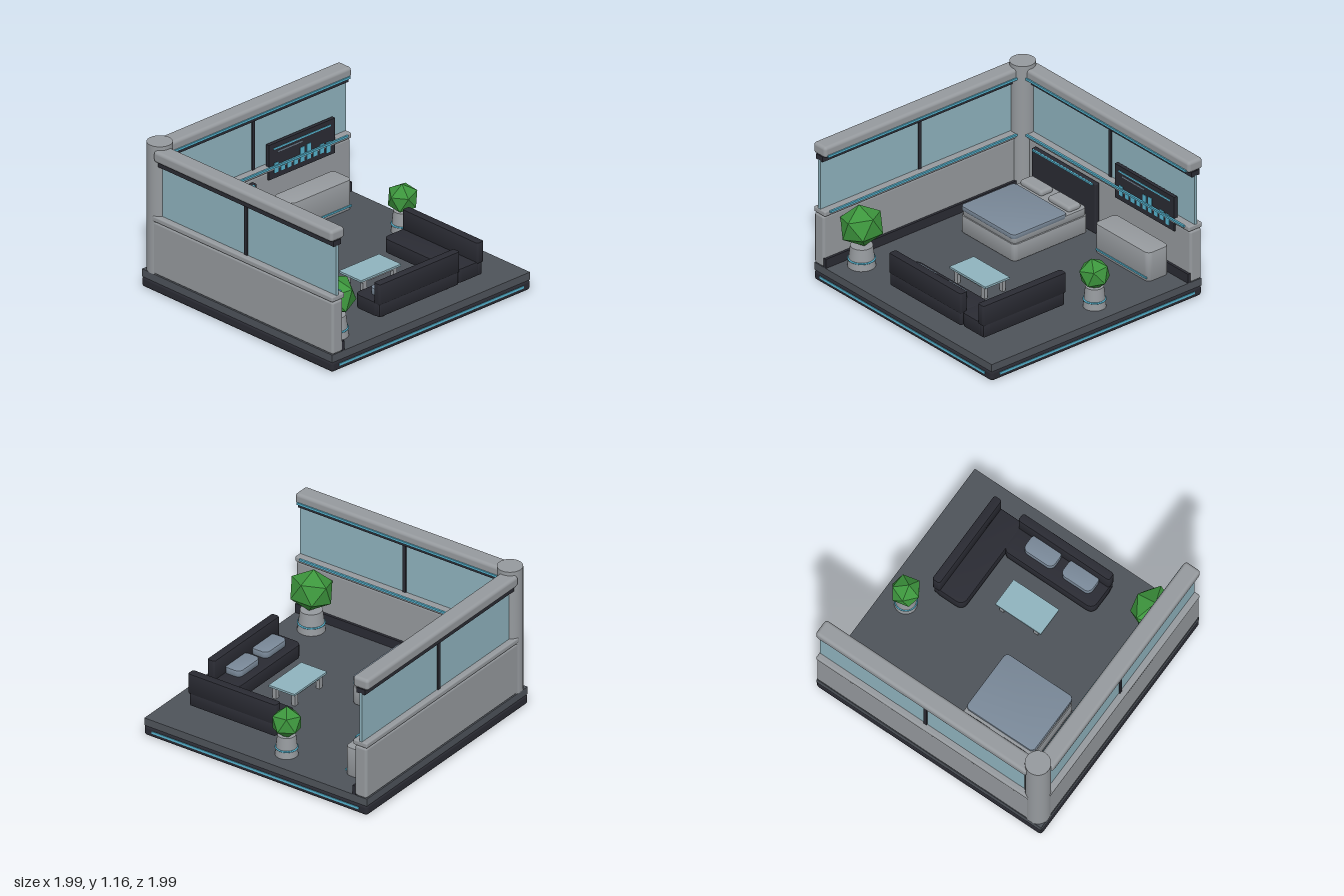
import * as THREE from 'three';
import { toCreasedNormals } from 'three/addons/utils/BufferGeometryUtils.js';
import { RoundedBoxGeometry } from 'three/addons/geometries/RoundedBoxGeometry.js';

const paint = (name, color) => {
  const m = new THREE.MeshStandardMaterial({ color });
  m.name = name;
  return m;
};

export function createModel() {
  const grey = paint('light grey', 0x969a9e);
  const dark = paint('charcoal', 0x2a2b33);
  const floorMat = paint('floor grey', 0x4e535a);
  const cyan = paint('cyan glow', 0x56b4d0);
  const glass = paint('pale glass', 0x8fb3be);
  const slate = paint('slate blue', 0x7a8999);
  const green = paint('leaf green', 0x3d963d);

  const room = new THREE.Group();
  room.name = 'bedroom';

  const group = (name) => {
    const g = new THREE.Group();
    g.name = name;
    room.add(g);
    return g;
  };
  const put = (parent, name, geo, mat, x = 0, y = 0, z = 0) => {
    const m = new THREE.Mesh(geo, mat);
    m.name = name;
    m.position.set(x, y, z);
    parent.add(m);
    return m;
  };
  // Box given by its limits on each axis, optionally with rounded edges
  const box = (parent, name, mat, [x0, x1], [y0, y1], [z0, z1], r = 0) => {
    const size = [x1 - x0, y1 - y0, z1 - z0];
    const geo = r ? new RoundedBoxGeometry(...size, 3, r) : new THREE.BoxGeometry(...size);
    return put(parent, name, geo, mat, (x0 + x1) / 2, (y0 + y1) / 2, (z0 + z1) / 2);
  };
  // Upright slab with rounded corners in plan and a small bevel
  const slab = (parent, name, mat, [x0, x1], [y0, y1], [z0, z1], r) => {
    const b = 0.006, w = (x1 - x0) / 2 - b, d = (z1 - z0) / 2 - b;
    const s = new THREE.Shape();
    s.moveTo(-w + r, -d);
    s.lineTo(w - r, -d);
    s.absarc(w - r, -d + r, r, -Math.PI / 2, 0);
    s.lineTo(w, d - r);
    s.absarc(w - r, d - r, r, 0, Math.PI / 2);
    s.lineTo(-w + r, d);
    s.absarc(-w + r, d - r, r, Math.PI / 2, Math.PI);
    s.lineTo(-w, -d + r);
    s.absarc(-w + r, -d + r, r, Math.PI, Math.PI * 1.5);
    let geo = new THREE.ExtrudeGeometry(s, {
      depth: y1 - y0 - 2 * b, bevelThickness: b, bevelSize: b, bevelSegments: 2, curveSegments: 6,
    });
    geo.rotateX(-Math.PI / 2);
    geo = toCreasedNormals(geo, 0.7);
    return put(parent, name, geo, mat, (x0 + x1) / 2, y0 + b, (z0 + z1) / 2);
  };

  // Platform
  const platform = group('platform');
  box(platform, 'base', dark, [-0.99, 0.99], [0, 0.085], [-0.99, 0.99], 0.025);
  box(platform, 'floor', floorMat, [-0.985, 0.985], [0.08, 0.14], [-0.985, 0.985]);
  box(platform, 'frontGlowStrip', cyan, [-0.92, 0.915], [0.037, 0.055], [0.985, 0.995]);
  box(platform, 'sideGlowStrip', cyan, [0.985, 0.995], [0.037, 0.055], [-0.92, 0.915]);

  // Two matching walls: the side wall swaps the x and z limits
  for (const side of [false, true]) {
    const wall = group(side ? 'sideWall' : 'backWall');
    const part = (name, mat, along, y, across, r) =>
      box(wall, name, mat, side ? across : along, y, side ? along : across, r);
    part('lowerPanel', grey, [-0.88, 0.99], [0.14, 0.56], [-0.985, -0.88], 0.02);
    part('skirting', dark, [-0.88, 0.985], [0.14, 0.215], [-0.885, -0.86]);
    part('sill', grey, [-0.88, 0.99], [0.56, 0.604], [-0.99, -0.865], 0.012);
    part('window', glass, [-0.88, 0.985], [0.6, 1.005], [-0.945, -0.92]);
    part('mullion', dark, [0.042, 0.07], [0.6, 1.005], [-0.955, -0.91]);
    part('header', dark, [-0.88, 0.985], [1.0, 1.042], [-0.97, -0.895]);
    part('cap', grey, [-0.86, 0.99], [1.04, 1.13], [-0.998, -0.862], 0.025);
    part('sillGlow', cyan, [-0.85, 0.945], [0.585, 0.601], [-0.866, -0.852]);
    part('capGlow', cyan, [-0.87, 0.965], [1.047, 1.064], [-0.866, -0.852]);
  }
  put(room, 'cornerColumn', new THREE.CylinderGeometry(0.095, 0.095, 1.02, 32), grey, -0.895, 0.65, -0.895);

  // Bed
  const bed = group('bed');
  slab(bed, 'bedBase', grey, [-0.655, -0.05], [0.145, 0.285], [-0.8, -0.1], 0.035);
  slab(bed, 'mattress', grey, [-0.648, -0.057], [0.285, 0.345], [-0.795, -0.105], 0.035);
  slab(bed, 'blanket', slate, [-0.65, -0.055], [0.325, 0.363], [-0.61, -0.098], 0.03);
  for (const x of [-0.51, -0.2])
    box(bed, 'pillow', grey, [x - 0.12, x + 0.12], [0.335, 0.385], [-0.76, -0.64], 0.022);
  box(bed, 'headboard', dark, [-0.71, 0], [0.14, 0.545], [-0.862, -0.82], 0.008);
  box(bed, 'headboardGlow', cyan, [-0.69, -0.025], [0.53, 0.543], [-0.825, -0.81]);

  // Cabinet below the screen
  const cabinet = group('cabinet');
  slab(cabinet, 'cabinetBody', grey, [0.19, 0.79], [0.14, 0.377], [-0.85, -0.65], 0.035);
  box(cabinet, 'cabinetGlow', cyan, [0.215, 0.775], [0.165, 0.178], [-0.653, -0.642]);

  // Wall screen with a bar chart
  const screen = group('wallScreen');
  box(screen, 'screenPanel', dark, [0.165, 0.825], [0.498, 0.777], [-0.895, -0.866]);
  const lit = [-0.867, -0.862];
  box(screen, 'screenTitleBar', cyan, [0.21, 0.78], [0.727, 0.74], lit);
  box(screen, 'screenSubtitleBar', slate, [0.25, 0.495], [0.697, 0.707], lit);
  [0.62, 0.577, 0.592, 0.577, 0.657, 0.663, 0.6, 0.615, 0.61].forEach((top, i) => {
    const x = 0.237 + i * 0.0645;
    box(screen, 'chartBar', cyan, [x - 0.02, x + 0.02], [i === 8 ? 0.525 : 0.54, top], lit);
  });

  // Corner sofa
  const sofa = group('sofa');
  slab(sofa, 'frontSeat', dark, [-0.355, 0.44], [0.165, 0.275], [0.555, 0.815], 0.05);
  slab(sofa, 'sideSeat', dark, [0.425, 0.685], [0.165, 0.275], [0.04, 0.805], 0.05);
  slab(sofa, 'frontBackrest', dark, [-0.355, 0.445], [0.265, 0.43], [0.755, 0.822], 0.012);
  slab(sofa, 'frontBackPanel', dark, [-0.35, 0.44], [0.165, 0.27], [0.765, 0.815], 0.01);
  slab(sofa, 'sideBackrest', dark, [0.625, 0.692], [0.265, 0.43], [0.035, 0.815], 0.012);
  slab(sofa, 'sideBackPanel', dark, [0.63, 0.685], [0.165, 0.27], [0.045, 0.805], 0.01);
  for (const x of [-0.145, 0.185])
    slab(sofa, 'seatCushion', slate, [x - 0.13, x + 0.13], [0.27, 0.325], [0.625, 0.775], 0.04);
  for (const [x, z] of [[-0.28, 0.62], [-0.28, 0.76], [0.36, 0.76], [0.5, 0.12], [0.63, 0.12], [0.63, 0.73]])
    box(sofa, 'sofaFoot', dark, [x - 0.015, x + 0.015], [0.14, 0.17], [z - 0.015, z + 0.015]);

  // Coffee table
  const table = group('coffeeTable');
  box(table, 'tableTop', glass, [-0.155, 0.245], [0.24, 0.256], [0.19, 0.42]);
  box(table, 'tableFrame', grey, [-0.13, 0.22], [0.222, 0.24], [0.205, 0.405]);
  for (const x of [-0.1, 0.2])
    for (const z of [0.22, 0.39])
      box(table, 'tableLeg', grey, [x - 0.018, x + 0.018], [0.14, 0.225], [z - 0.015, z + 0.015]);

  // Potted plants with faceted foliage
  const plant = (x, z, s, leafY, r, turn, stretch) => {
    const g = group('plant');
    put(g, 'pot', new THREE.CylinderGeometry(0.068 * s, 0.085 * s, 0.165, 24), grey, x, 0.2225, z);
    const ring = new THREE.TorusGeometry(0.08 * s, 0.007, 8, 28).rotateX(Math.PI / 2);
    put(g, 'potGlowRing', ring, cyan, x, 0.2, z);
    const leaf = new THREE.IcosahedronGeometry(r, 0).rotateZ(-0.365).rotateY(turn).scale(1, 1, stretch);
    leaf.computeVertexNormals();
    put(g, 'foliage', leaf, green, x, leafY, z);
  };
  plant(-0.738, 0.752, 1.22, 0.465, 0.16, 0, 1.12);
  plant(0.798, -0.14, 1, 0.403, 0.121, 0.6, 1);

  return room;
}
